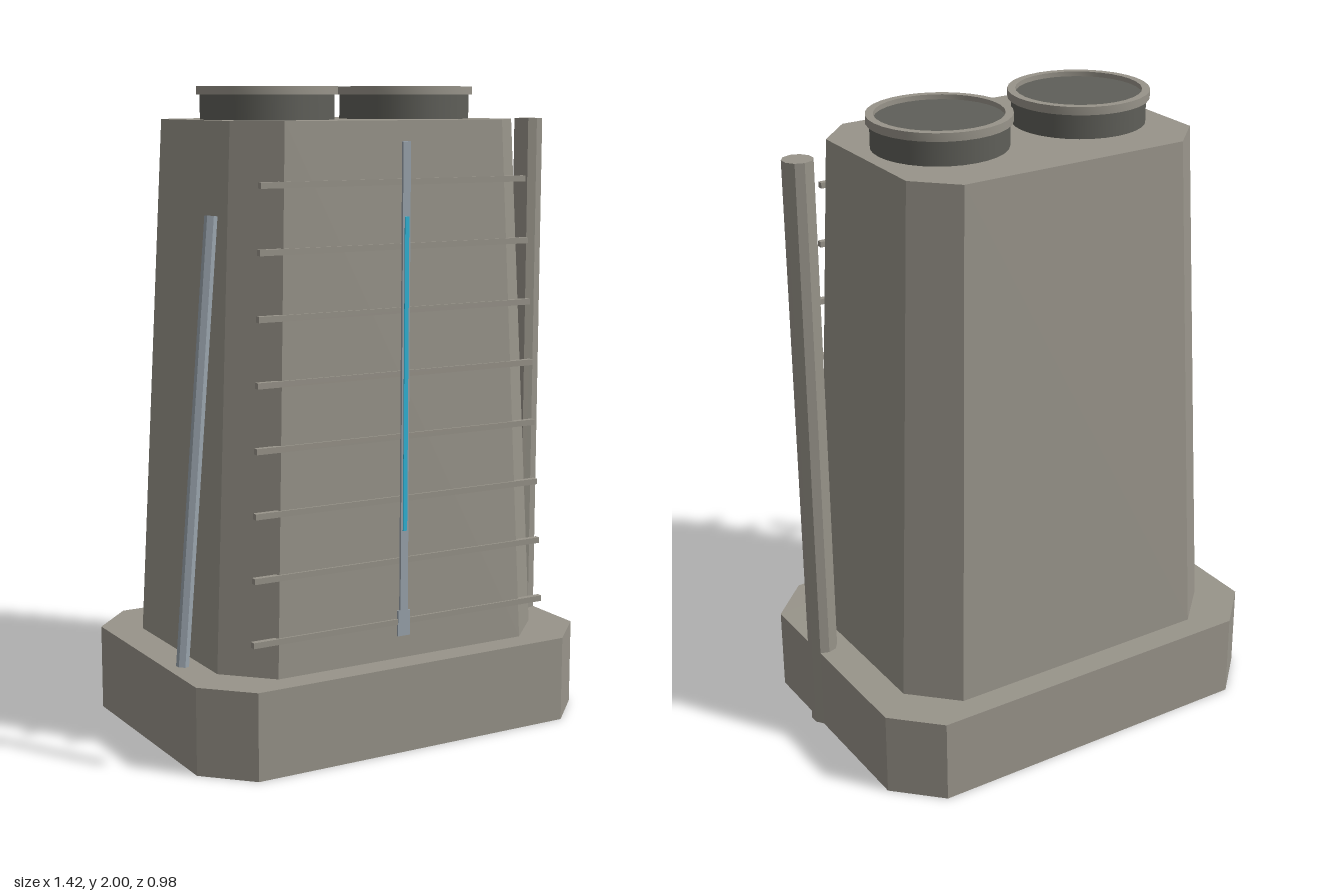
import * as THREE from 'three';
import { toCreasedNormals } from 'three/addons/utils/BufferGeometryUtils.js';

const CX = 0.012; // centre line of the tower

function material(name, color, flatShading = false) {
  const m = new THREE.MeshStandardMaterial({ color, flatShading });
  m.name = name;
  return m;
}

// Eight-sided block with cut corners, its top scaled by taper
function chamferedBlock(hx, hz, cut, height, taper) {
  const shape = new THREE.Shape([
    [hx, -hz + cut], [hx, hz - cut], [hx - cut, hz], [-hx + cut, hz],
    [-hx, hz - cut], [-hx, -hz + cut], [-hx + cut, -hz], [hx - cut, -hz],
  ].map(([x, y]) => new THREE.Vector2(x, y)));
  const geo = new THREE.ExtrudeGeometry(shape, { depth: height, bevelEnabled: false });
  geo.rotateX(-Math.PI / 2);
  const p = geo.attributes.position;
  for (let i = 0; i < p.count; i++) {
    if (p.getY(i) > height / 2) p.setXYZ(i, p.getX(i) * taper, p.getY(i), p.getZ(i) * taper);
  }
  geo.computeVertexNormals();
  return geo;
}

export function createModel() {
  const model = new THREE.Group();
  const concrete = material('concrete', 0x98948a);
  const dark = material('dark vent', 0x5f5f59);
  const steel = material('steel', 0x9aa4ad);
  const glow = material('cyan light', 0x2fb4d8);

  const add = (name, geo, mat, x, y, z) => {
    const mesh = new THREE.Mesh(geo, mat);
    mesh.name = name;
    mesh.position.set(x, y, z);
    model.add(mesh);
    return mesh;
  };

  // Plinth and tapering tower
  add('plinth', chamferedBlock(0.68, 0.49, 0.135, 0.27, 1), concrete, CX, 0, 0);
  add('tower', chamferedBlock(0.57, 0.408, 0.135, 1.63, 0.865), concrete, CX, 0.27, 0);

  // Two roof vents, each with a raised lip
  const lip = [[0.192, 1.975], [0.216, 1.975], [0.216, 2], [0.192, 2], [0.192, 1.975]]
    .map(([r, y]) => new THREE.Vector2(r, y));
  const lipGeo = toCreasedNormals(new THREE.LatheGeometry(lip, 32), 0.6);
  for (const x of [-0.235, 0.255]) {
    add('vent', new THREE.CylinderGeometry(0.205, 0.205, 0.085, 32), dark, x, 1.9425, 0);
    add('ventLip', lipGeo, concrete, x, 0, 0);
  }

  // Eight horizontal ribs following the sloping front
  for (let i = 0; i < 8; i++) {
    const y = 0.385 + i * 0.1907;
    const k = 1 - 0.135 * (y - 0.27) / 1.63;
    add('rib', new THREE.BoxGeometry(1.045 * k, 0.018, 0.018), concrete, CX, y, 0.406 * k - 0.001);
  }

  // Thin mast with a foot and a light strip on the front
  add('frontMast', new THREE.BoxGeometry(0.026, 1.5, 0.008), steel, 0.011, 1.09, 0.408);
  add('mastFoot', new THREE.BoxGeometry(0.042, 0.08, 0.008), steel, 0.011, 0.38, 0.408);
  add('lightStrip', new THREE.BoxGeometry(0.014, 0.95, 0.004), glow, 0.011, 1.145, 0.413);

  // Upright pipe beside the tower
  const pipeMat = material('pipe concrete', 0x98948a, true);
  add('sidePipe', new THREE.CylinderGeometry(0.047, 0.047, 1.9, 10), pipeMat, 0.664, 0.95, 0.108);

  // Leaning rod on the other side
  const low = new THREE.Vector3(-0.697, 0.332, 0.328);
  const high = new THREE.Vector3(-0.561, 1.633, 0.271);
  const axis = high.clone().sub(low);
  const mid = low.clone().add(high).multiplyScalar(0.5);
  const rodMat = material('rod steel', 0x9aa4ad, true);
  const rod = add('leaningRod', new THREE.CylinderGeometry(0.019, 0.019, axis.length(), 6), rodMat, mid.x, mid.y, mid.z);
  rod.quaternion.setFromUnitVectors(new THREE.Vector3(0, 1, 0), axis.normalize());

  return model;
}
